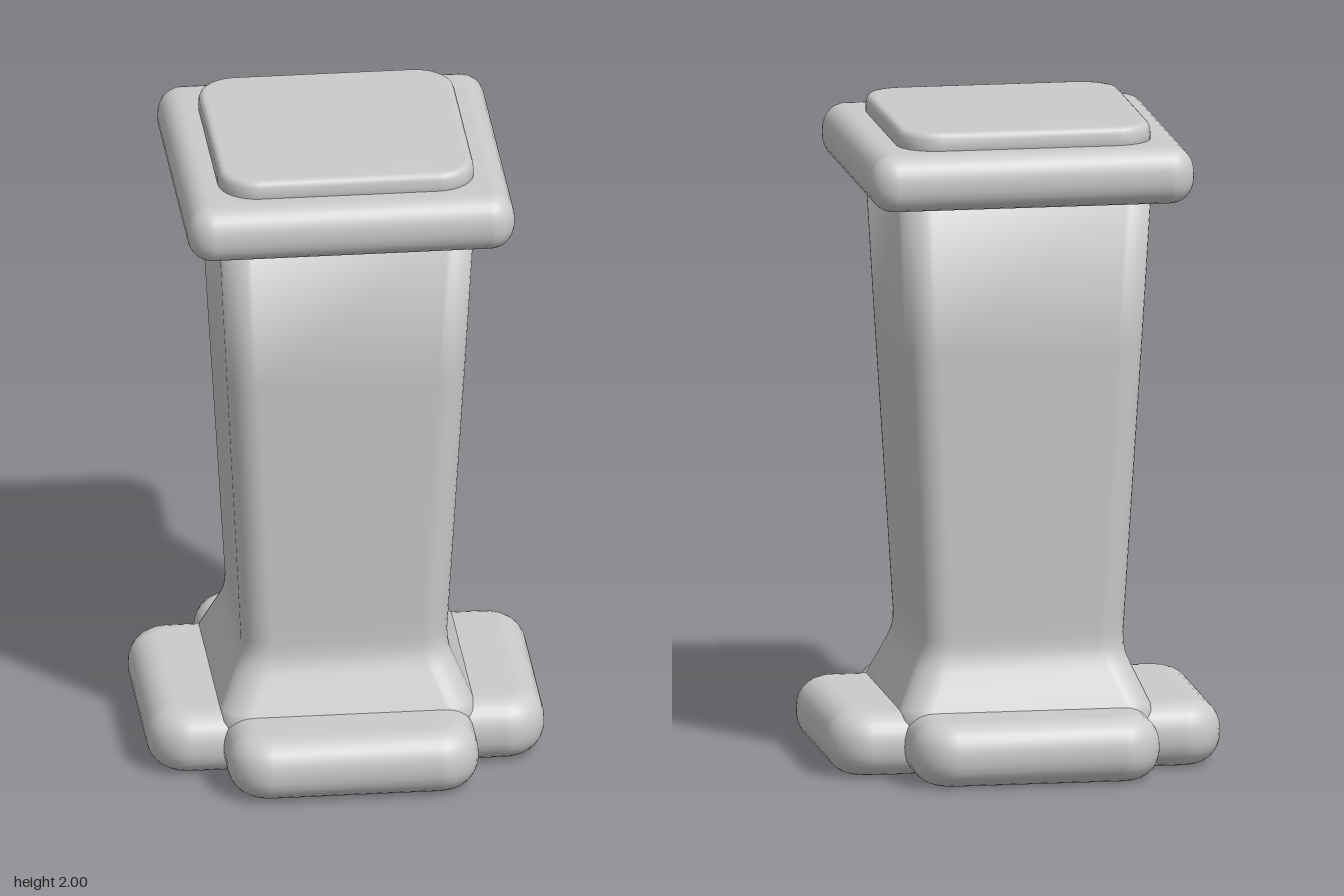
import * as THREE from 'three';

const ARC = 8; // segments per rounded corner

// Loft through rounded-rectangle rings [halfX, halfZ, y, cornerRadius], listed bottom to top.
function loft(name, rings, material) {
  const pos = [], index = [], n = 4 * (ARC + 1);
  for (const [hx, hz, y, r] of rings) {
    for (let c = 0; c < 4; c++) {
      const sx = c === 0 || c === 3 ? 1 : -1, sz = c < 2 ? 1 : -1;
      for (let k = 0; k <= ARC; k++) {
        const a = (c + k / ARC) * Math.PI / 2;
        pos.push(sx * (hx - r) + r * Math.cos(a), y, sz * (hz - r) + r * Math.sin(a));
      }
    }
  }
  for (let j = 0; j < rings.length - 1; j++) {
    for (let i = 0; i < n; i++) {
      const a = j * n + i, b = j * n + (i + 1) % n;
      index.push(a, a + n, b, b, a + n, b + n);
    }
  }
  // Flat end caps
  const last = (rings.length - 1) * n, low = rings.length * n, high = low + 1;
  pos.push(0, rings[0][2], 0, 0, rings[rings.length - 1][2], 0);
  for (let i = 0; i < n; i++) {
    const next = (i + 1) % n;
    index.push(low, i, next, high, last + next, last + i);
  }
  const geometry = new THREE.BufferGeometry();
  geometry.setAttribute('position', new THREE.Float32BufferAttribute(pos, 3));
  geometry.setIndex(index);
  geometry.computeVertexNormals();
  const mesh = new THREE.Mesh(geometry, material);
  mesh.name = name;
  return mesh;
}

// Rings for a cushion-like slab whose rim bulges out in a soft half round.
function cushion(hx, hz, y0, y1, corner, round, steps = 14) {
  const mid = (y0 + y1) / 2, half = (y1 - y0) / 2, rings = [];
  for (let i = 0; i <= steps; i++) {
    const a = (i / steps - 0.5) * Math.PI;
    const inset = round * (1 - Math.pow(Math.max(Math.cos(a), 0), 0.9));
    const y = mid + half * Math.sign(a) * Math.pow(Math.abs(Math.sin(a)), 0.9);
    rings.push([hx - inset, hz - inset, y, Math.max(corner - inset, 0.012)]);
  }
  return rings;
}

export function createModel() {
  const group = new THREE.Group();
  const grey = new THREE.MeshStandardMaterial({ color: 0xcccccc });

  // Cross-shaped foot from two crossing cushions
  group.add(loft('footAcross', cushion(0.61, 0.385, 0, 0.2, 0.13, 0.095), grey));
  group.add(loft('footAlong', cushion(0.385, 0.61, 0, 0.2, 0.13, 0.095), grey));

  // Tapered shaft with a flared bottom
  const profile = [
    [0.34, 0.02], [0.375, 0.06], [0.395, 0.12], [0.395, 0.18], [0.385, 0.205], [0.36, 0.26],
    [0.335, 0.315], [0.323, 0.345], [0.317, 0.375], [0.316, 0.41], [0.319, 0.46],
    [0.34, 0.85], [0.365, 1.3], [0.391, 1.8],
  ];
  group.add(loft('shaft', profile.map(([h, y]) => [h, h, y, 0.09]), grey));

  // Wide rim and the raised panel on top
  group.add(loft('capRim', cushion(0.502, 0.502, 1.77, 1.945, 0.08, 0.075), grey));
  group.add(loft('topPanel', [
    [0.39, 0.39, 1.9, 0.12], [0.392, 0.392, 1.96, 0.12], [0.391, 0.391, 1.98, 0.12],
    [0.386, 0.386, 1.992, 0.115], [0.378, 0.378, 1.998, 0.107], [0.366, 0.366, 2, 0.095],
  ], grey));
  return group;
}
